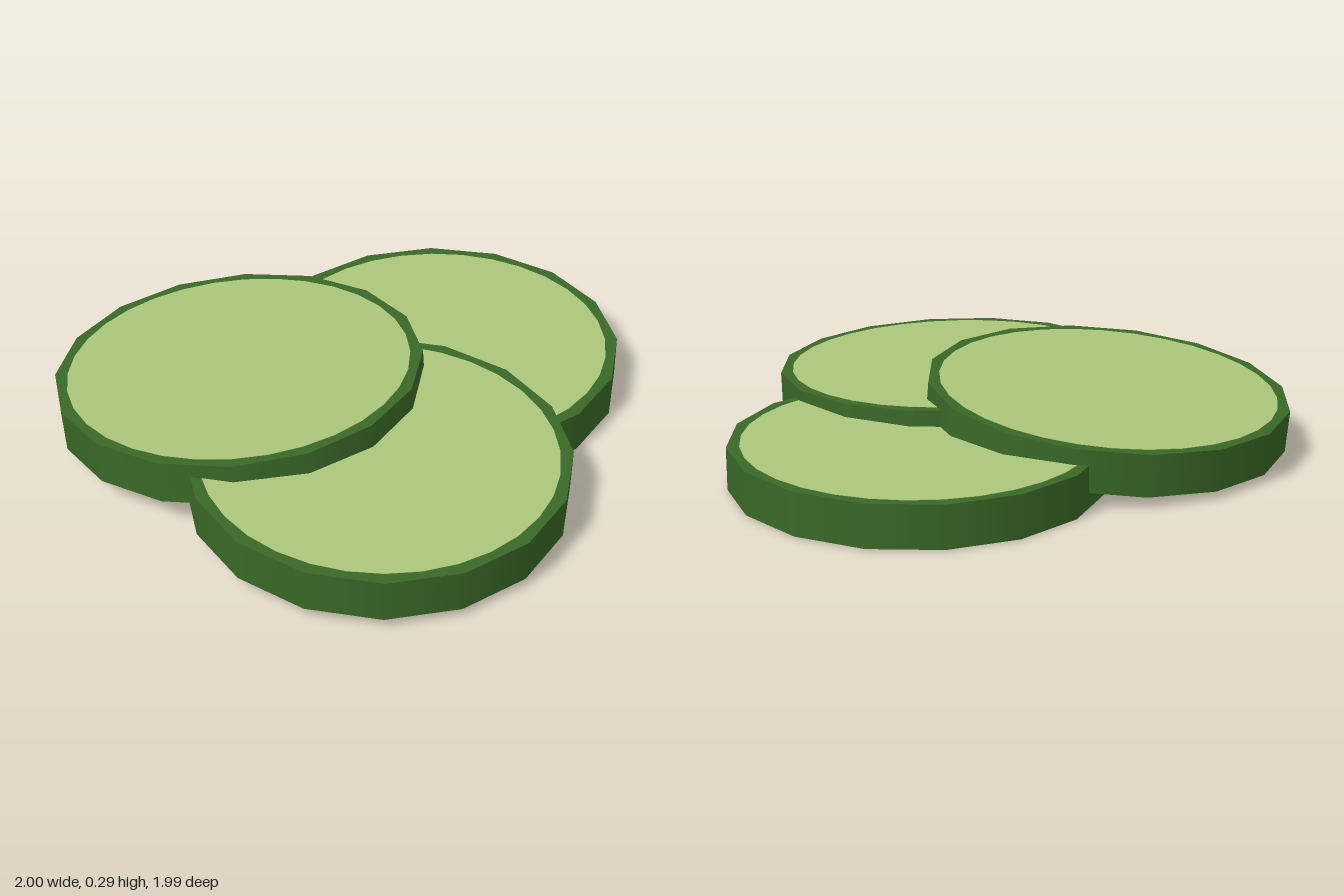
import * as THREE from 'three';

const RADIUS = 0.655, HEIGHT = 0.153, FLESH_RADIUS = 0.61;

export function createModel() {
  const rindMat = new THREE.MeshStandardMaterial({ color: 0x3a6827 });
  rindMat.name = 'dark green rind';
  const fleshMat = new THREE.MeshStandardMaterial({ color: 0xabc67b });
  fleshMat.name = 'pale green flesh';

  // Coarse rind disc, with a rounder flesh disc standing just proud of both faces
  const rindGeo = new THREE.CylinderGeometry(RADIUS, RADIUS, HEIGHT, 16);
  const fleshGeo = new THREE.CylinderGeometry(FLESH_RADIUS, FLESH_RADIUS, HEIGHT + 0.003, 32);

  function slice(name, x, y, z, tiltDegrees) {
    const group = new THREE.Group();
    group.name = name;
    const rind = new THREE.Mesh(rindGeo, rindMat);
    rind.name = 'rind';
    const flesh = new THREE.Mesh(fleshGeo, fleshMat);
    flesh.name = 'flesh';
    group.add(rind, flesh);
    group.position.set(x, y, z);
    group.rotation.z = THREE.MathUtils.degToRad(tiltDegrees);
    return group;
  }

  // Three overlapping slices: one flat at the back, two leaning on it
  const model = new THREE.Group();
  model.name = 'vegetableSlices';
  model.add(
    slice('backSlice', 0, HEIGHT / 2 + 0.0015, -0.34, 0),
    slice('leftSlice', 0.34, 0.128, 0.34, -2),
    slice('rightSlice', -0.34, 0.158, 0.34, 5),
  );
  return model;
}
